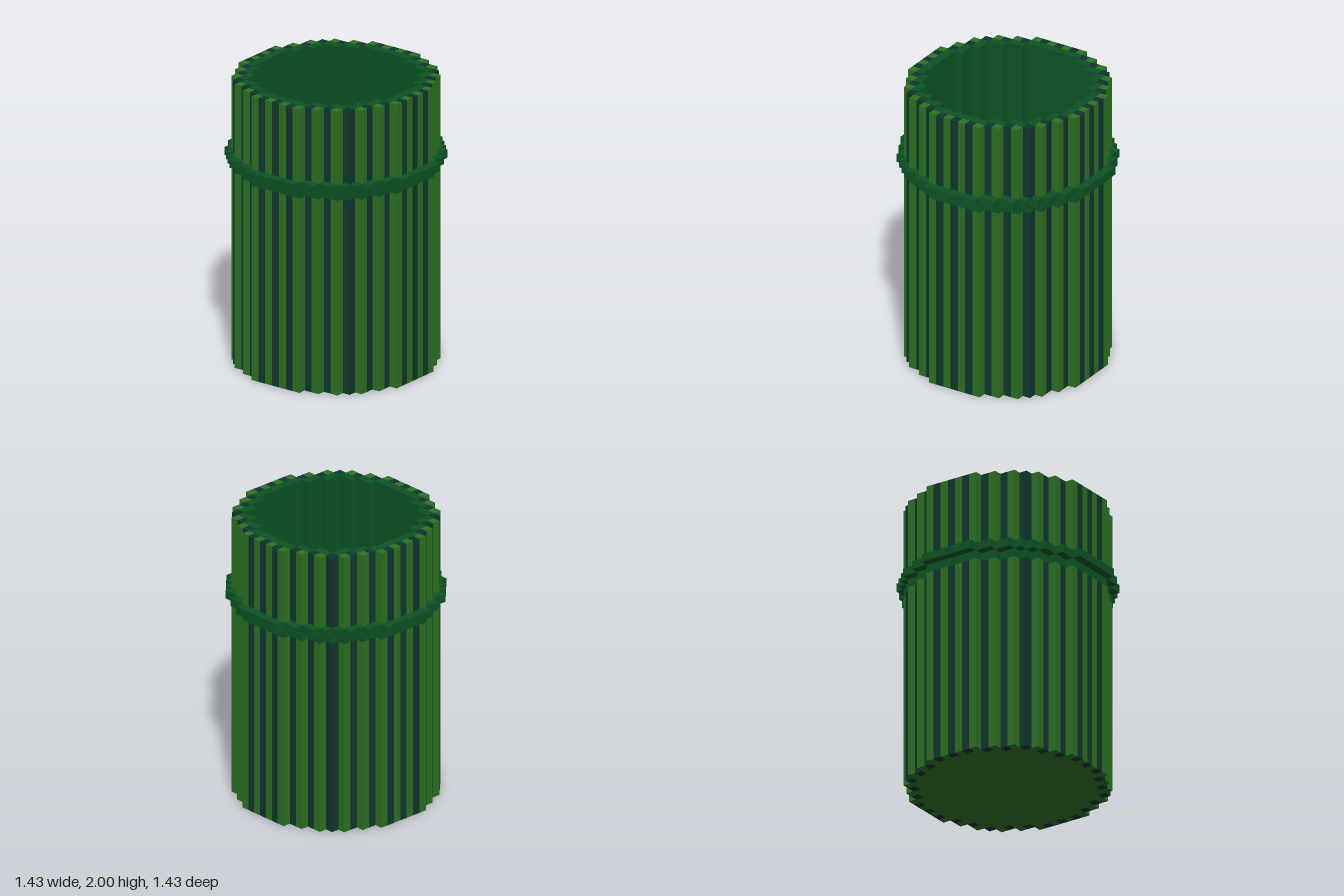
import * as THREE from 'three';
import { mergeGeometries } from 'three/addons/utils/BufferGeometryUtils.js';

const U = 2 / 35; // one block
const TOP = 35, COLLAR = 24;

// Half-widths, in blocks, of each stepped disc for rows 0, 1, 2 ... from the centre
const FLANGE = [12, 12, 12, 12, 11, 11, 10, 10, 9, 8, 7, 5, 3];
const BODY = [11, 11, 11, 11, 10, 10, 9, 9, 8, 7, 5, 3];
const LINER = [10, 10, 10, 10, 9, 9, 8, 8, 7, 5, 3];
const HOLLOW = [9, 9, 9, 9, 8, 8, 7, 7, 5, 3];

// Stepped outline: one quadrant, mirrored into four
function outline(rows) {
  const q = [];
  rows.forEach((w, r) => {
    if (w === rows[r + 1]) return;
    q.push([w + 0.5, r + 0.5]);
    if (r + 1 < rows.length) q.push([rows[r + 1] + 0.5, r + 0.5]);
  });
  const back = [...q].reverse();
  const flip = (pts, sx, sy) => pts.map(([x, y]) => new THREE.Vector2(x * sx * U, y * sy * U));
  return [...flip(q, 1, 1), ...flip(back, -1, 1), ...flip(q, -1, -1), ...flip(back, 1, -1)];
}

// Upright stepped disc or ring between two block heights
function layer(outer, inner, y0, y1) {
  const shape = new THREE.Shape(outline(outer));
  if (inner) shape.holes.push(new THREE.Path(outline(inner)));
  const geo = new THREE.ExtrudeGeometry(shape, { depth: (y1 - y0) * U, bevelEnabled: false });
  return geo.rotateX(-Math.PI / 2).translate(0, y0 * U, 0);
}

// Vertical staves, one block square, alternating around the wall
function staves(dark, y0, y1) {
  const boxes = [];
  for (let x = -11; x <= 11; x++) {
    for (let z = -11; z <= 11; z++) {
      const ax = Math.abs(x), az = Math.abs(z);
      const inWall = ax <= BODY[az] && !(ax <= LINER[az]);
      if (!inWall || (Math.min(ax, az) % 2 === 0) !== dark) continue;
      boxes.push(new THREE.BoxGeometry(U, (y1 - y0) * U, U)
        .translate(x * U, (y0 + y1) / 2 * U, z * U));
    }
  }
  return mergeGeometries(boxes);
}

export function createModel() {
  const group = new THREE.Group();
  const material = (name, color) => {
    const m = new THREE.MeshStandardMaterial({ color });
    m.name = name;
    return m;
  };
  const leaf = material('leaf green', 0x2d7323);
  const teal = material('dark teal', 0x113630);
  const forest = material('forest green', 0x0d5424);

  const add = (name, geo, mat) => {
    const mesh = new THREE.Mesh(geo, mat);
    mesh.name = name;
    group.add(mesh);
  };

  // Striped wall below and above the collar
  for (const [name, y0, y1] of [['lower', 0, COLLAR], ['upper', COLLAR + 2, TOP]]) {
    add(name + 'LightStaves', staves(false, y0, y1), leaf);
    add(name + 'DarkStaves', staves(true, y0, y1), teal);
  }

  // Floor and inner lining
  add('floor', layer(LINER, null, 0, 1), leaf);
  add('liner', layer(LINER, HOLLOW, 1, TOP), forest);

  // Collar: a flush band with a projecting flange on it
  add('collarBand', layer(BODY, LINER, COLLAR, COLLAR + 1), forest);
  add('collarFlange', layer(FLANGE, LINER, COLLAR + 1, COLLAR + 2), forest);

  return group;
}
